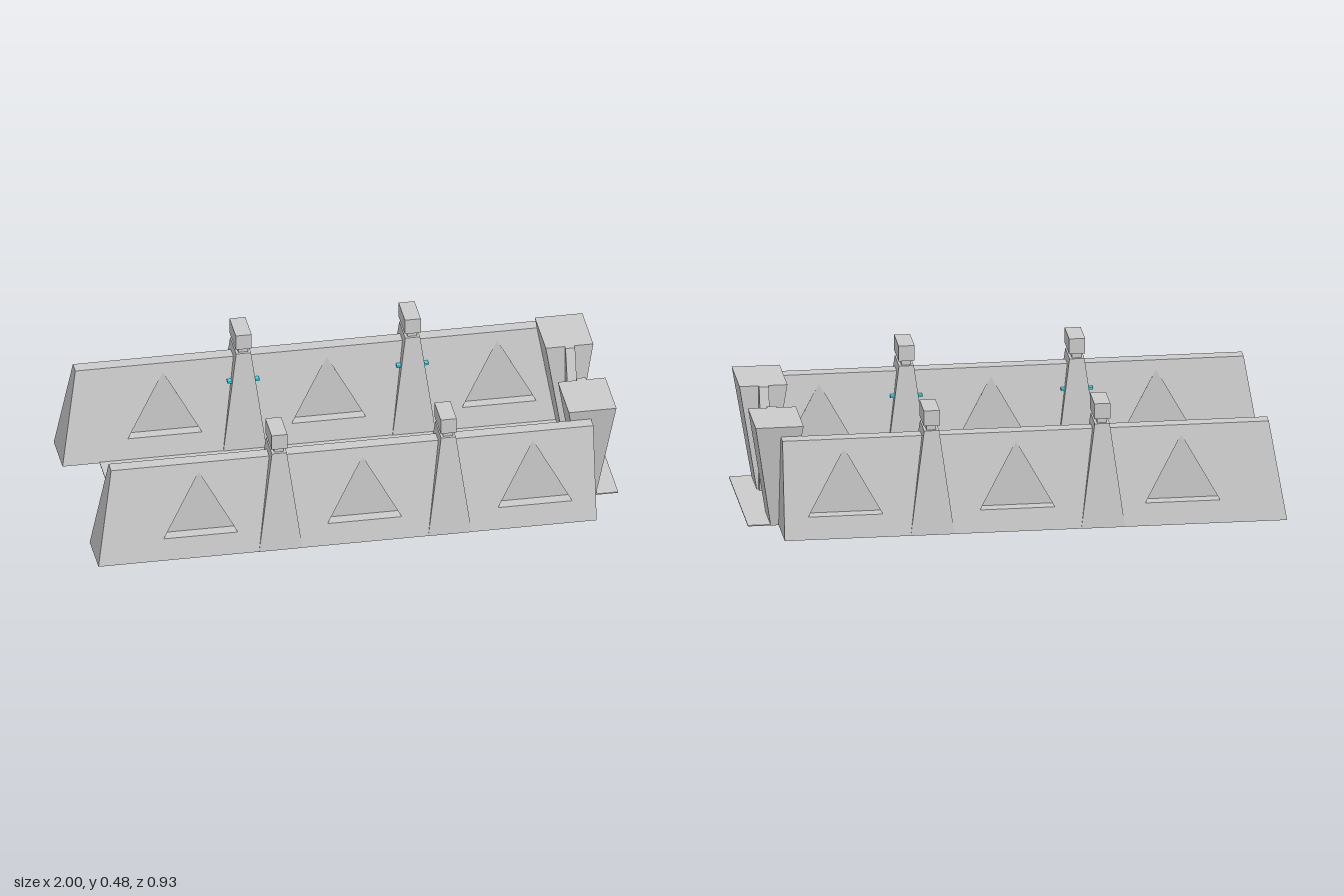
import * as THREE from 'three';
import { mergeGeometries } from 'three/addons/utils/BufferGeometryUtils.js';

const grey = new THREE.MeshStandardMaterial({ color: 0xcccccc, flatShading: true, side: THREE.DoubleSide });
const cyan = new THREE.MeshStandardMaterial({ color: 0x40dff0, flatShading: true, side: THREE.DoubleSide });

// Flat polygons (3 or 4 corners, counter-clockwise from outside) to geometry
function polygons(list, flip = false) {
  const pos = [];
  for (const p of list) {
    for (let i = 1; i < p.length - 1; i++) {
      const tri = flip ? [p[0], p[i + 1], p[i]] : [p[0], p[i], p[i + 1]];
      tri.forEach((v) => pos.push(...v));
    }
  }
  const g = new THREE.BufferGeometry();
  g.setAttribute('position', new THREE.Float32BufferAttribute(pos, 3));
  g.computeVertexNormals();
  return g;
}

// Tapered block; each rectangle is [x0, x1, z0, z1]
function taper(bottom, y0, top, y1, openBottom = false) {
  const ring = ([x0, x1, z0, z1], y) => [[x0, y, z0], [x1, y, z0], [x1, y, z1], [x0, y, z1]];
  const b = ring(bottom, y0), t = ring(top, y1);
  const faces = [[t[3], t[2], t[1], t[0]]];
  for (let i = 0; i < 4; i++) {
    const j = (i + 1) % 4;
    faces.push([b[j], b[i], t[i], t[j]]);
  }
  if (!openBottom) faces.push(b);
  return polygons(faces);
}

function add(parent, name, geometry, material = grey) {
  const mesh = new THREE.Mesh(geometry, material);
  mesh.name = name;
  parent.add(mesh);
  return mesh;
}

const H = 0.37;
const X_END = 0.885;
const RECESSES = [-0.61, 0.01, 0.655];

// Leaning wall face with three triangular recesses cut straight in to z = back
function wallFace(zBottom, zTop, back, flip) {
  const zAt = (y) => zBottom + (zTop - zBottom) * y / H;
  const shape = new THREE.Shape([[-1, 0], [X_END, 0], [X_END, H], [-0.94, H]].map((p) => new THREE.Vector2(...p)));
  const recess = [];
  for (const cx of RECESSES) {
    const tri = [[cx - 0.14, 0.085], [cx + 0.14, 0.085], [cx, 0.333]];
    shape.holes.push(new THREE.Path(tri.map((p) => new THREE.Vector2(...p))));
    tri.forEach(([ax, ay], i) => {
      const [bx, by] = tri[(i + 1) % 3];
      recess.push([[ax, ay, zAt(ay)], [bx, by, zAt(by)], [bx, by, back], [ax, ay, back]]);
    });
    recess.push(tri.map(([x, y]) => [x, y, back]));
  }
  const flat = new THREE.ShapeGeometry(shape).toNonIndexed();
  const p = flat.attributes.position;
  const faces = [];
  for (let i = 0; i < p.count; i += 3) {
    faces.push([0, 1, 2].map((k) => [p.getX(i + k), p.getY(i + k), zAt(p.getY(i + k))]));
  }
  return polygons([...faces, ...recess], flip);
}

function wallSide() {
  const side = new THREE.Group();

  // Hollow wall, open underneath
  const outer = [0.462, 0.395], inner = [0.28, 0.344];
  const shell = polygons([
    [[-0.94, H, outer[1]], [X_END, H, outer[1]], [X_END, H, inner[1]], [-0.94, H, inner[1]]],
    [[X_END, 0, outer[0]], [X_END, 0, inner[0]], [X_END, H, inner[1]], [X_END, H, outer[1]]],
    [[-1, 0, inner[0]], [-1, 0, outer[0]], [-0.94, H, outer[1]], [-0.94, H, inner[1]]],
  ]);
  add(side, 'wall', mergeGeometries([
    wallFace(...outer, 0.4, false), wallFace(...inner, 0.337, true), shell,
  ]));

  // Pillars with neck, cap and thin light strip
  for (const x of [-0.31, 0.33]) {
    const rect = (hx, hz) => [x - hx, x + hx, 0.37 - hz, 0.37 + hz];
    const pillar = new THREE.Group();
    pillar.name = 'pillar';
    add(pillar, 'pillarShaft', taper(rect(0.082, 0.093), 0, rect(0.028, 0.062), 0.4, true));
    add(pillar, 'pillarNeck', taper(rect(0.018, 0.051), 0.4, rect(0.018, 0.051), 0.42));
    add(pillar, 'pillarCap', taper(rect(0.03, 0.065), 0.42, rect(0.03, 0.065), 0.48));
    add(pillar, 'pillarLight', new THREE.BoxGeometry(0.12, 0.008, 0.022)).position.set(x, 0.28, 0.317);
    pillar.children[3].material = cyan;
    side.add(pillar);
  }

  // Gate tower, widening upward
  add(side, 'gateTower', taper([0.867, 0.915, 0.125, 0.28], 0, [0.8, 0.98, 0.125, 0.352], 0.41));

  // Pointed flange between tower and door
  const flange = new THREE.Shape([[0.125, 0], [0.125, 0.41], [0.11, 0.41], [0.068, 0.265], [0.107, 0]]
    .map(([z, y]) => new THREE.Vector2(-z, y)));
  add(side, 'gateFlange', new THREE.ExtrudeGeometry(flange, { depth: 0.036, bevelEnabled: false })
    .rotateY(Math.PI / 2).translate(0.872, 0, 0));
  return side;
}

export function createModel() {
  const model = new THREE.Group();
  model.name = 'walledBridge';

  const floor = add(model, 'floor', new THREE.BoxGeometry(1.86, 0.004, 0.56));
  floor.position.set(0.07, 0.002, 0);

  // Two mirrored sides
  for (const s of [1, -1]) {
    const side = wallSide();
    side.name = s > 0 ? 'frontSide' : 'backSide';
    side.scale.z = s;
    model.add(side);
  }

  // Thin door with a triangular light showing on both faces
  const plate = (points, depth) => new THREE.ExtrudeGeometry(
    new THREE.Shape(points.map((p) => new THREE.Vector2(...p))), { depth, bevelEnabled: false },
  ).rotateY(Math.PI / 2).translate(0.89 - depth / 2, 0, 0);
  add(model, 'gateDoor', plate([[-0.107, 0], [0.107, 0], [0.068, 0.265], [-0.068, 0.265]], 0.016));
  add(model, 'gateLight', plate([[-0.033, 0.13], [0.033, 0.13], [0, 0.195]], 0.026), cyan);
  return model;
}
